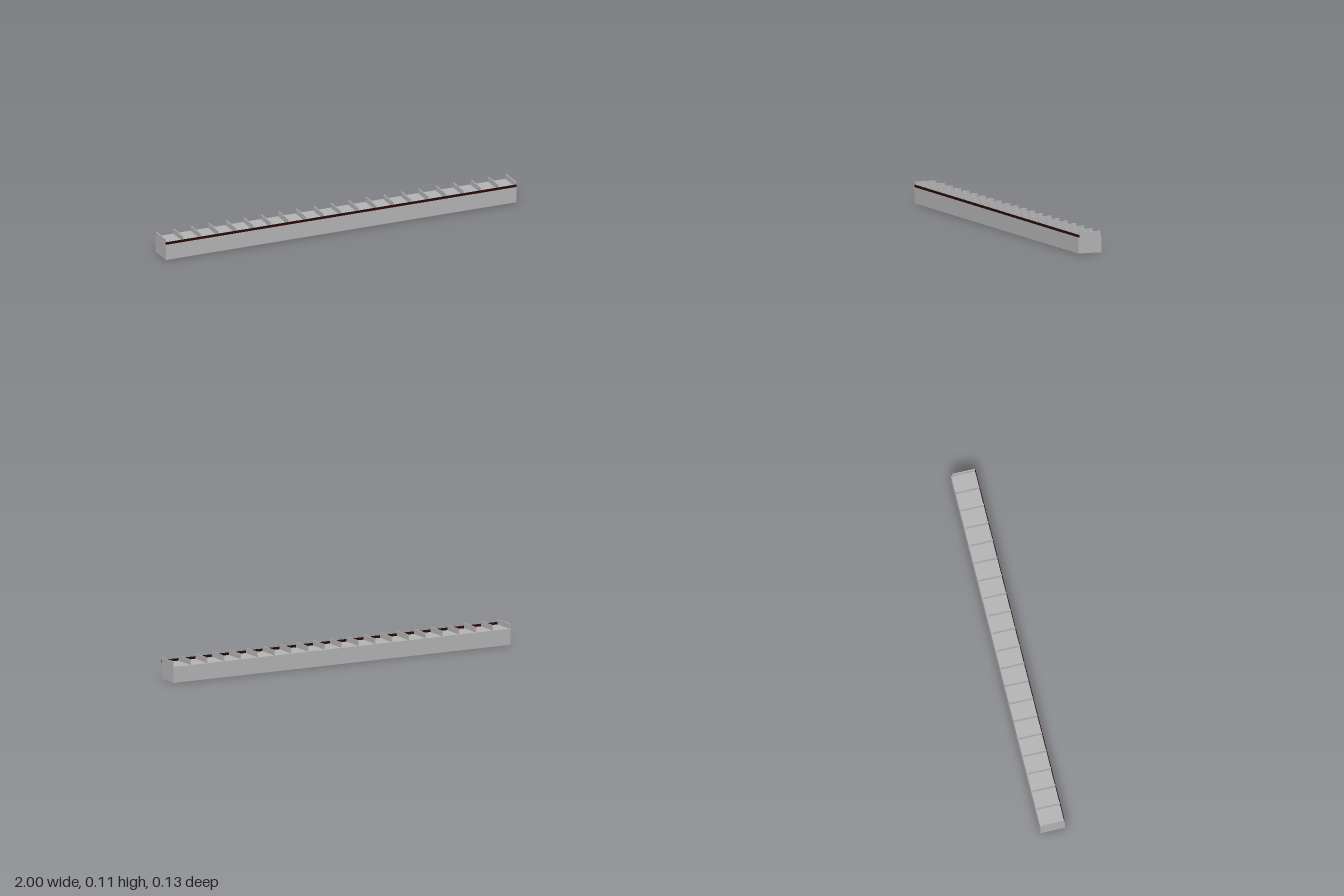
import * as THREE from 'three';

export function createModel() {
  const model = new THREE.Group();
  model.name = 'dividedShelf';

  const grey = new THREE.MeshStandardMaterial({ color: 0xb3b3b3 });
  grey.name = 'light grey';
  const darkRed = new THREE.MeshStandardMaterial({ color: 0x2a0808 });
  darkRed.name = 'dark red';

  // Box given by its lower and upper corners
  function addBox(name, material, [x0, y0, z0], [x1, y1, z1]) {
    const mesh = new THREE.Mesh(new THREE.BoxGeometry(x1 - x0, y1 - y0, z1 - z0), material);
    mesh.position.set((x0 + x1) / 2, (y0 + y1) / 2, (z0 + z1) / 2);
    mesh.name = name;
    model.add(mesh);
  }

  // Long solid base
  addBox('base', grey, [-1, 0, -0.065], [1, 0.085, 0.066]);

  // Low lip along the front edge
  addBox('frontLip', darkRed, [-1, 0.085, 0.063], [1, 0.098, 0.066]);

  // Evenly spaced thin dividers, the end ones flush with the base
  const count = 21, thickness = 0.005;
  for (let i = 0; i < count; i++) {
    const x = -1 + (i * (2 - thickness)) / (count - 1);
    addBox('divider', grey, [x, 0.085, -0.059], [x + thickness, 0.113, 0.063]);
  }
  return model;
}
